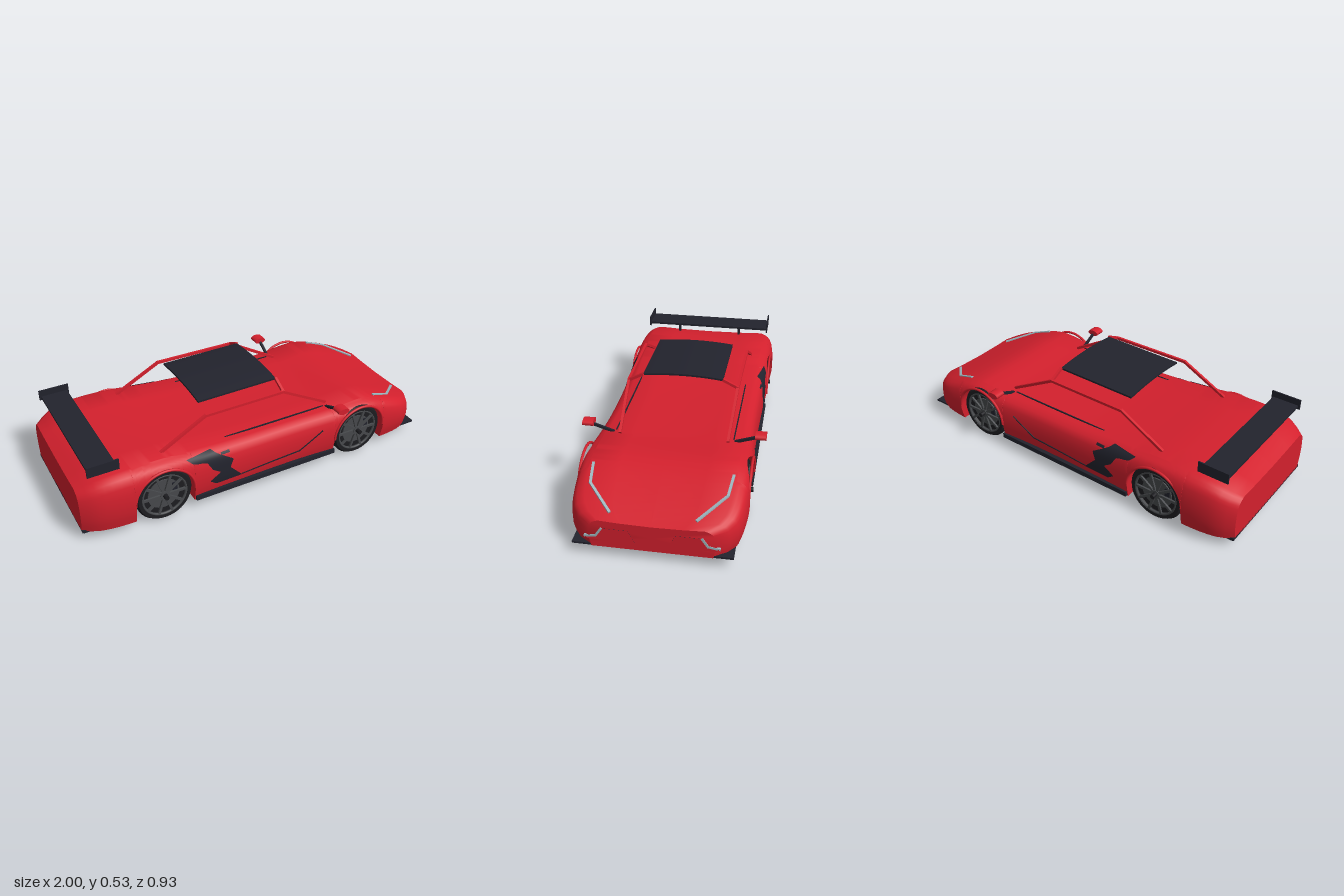
import * as THREE from 'three';
import { toCreasedNormals } from 'three/addons/utils/BufferGeometryUtils.js';

const mat = (name, color, side = THREE.FrontSide) => {
  const m = new THREE.MeshStandardMaterial({ color, side });
  m.name = name;
  return m;
};

// Smooth curve through [x, value] points
function curve(pts) {
  const slope = (i) => {
    const a = pts[Math.max(i - 1, 0)], b = pts[Math.min(i + 1, pts.length - 1)];
    return (b[1] - a[1]) / (b[0] - a[0]);
  };
  return (x) => {
    let i = 0;
    while (i < pts.length - 2 && x > pts[i + 1][0]) i++;
    const [x0, v0] = pts[i], [x1, v1] = pts[i + 1], h = x1 - x0;
    const t = THREE.MathUtils.clamp((x - x0) / h, 0, 1), t2 = t * t, t3 = t2 * t;
    return (2 * t3 - 3 * t2 + 1) * v0 + (t3 - 2 * t2 + t) * h * slope(i)
      + (3 * t2 - 2 * t3) * v1 + (t3 - t2) * h * slope(i + 1);
  };
}
const lerpTable = (pts) => (x) => {
  let i = 0;
  while (i < pts.length - 2 && x > pts[i + 1][0]) i++;
  const [x0, v0] = pts[i], [x1, v1] = pts[i + 1];
  return v0 + (v1 - v0) * THREE.MathUtils.clamp((x - x0) / (x1 - x0), 0, 1);
};

const FLOOR = 0.055, AXLE = 0.58, HUB_Y = 0.15, ARCH = 0.16;
const topY = curve([[-1, 0.285], [-0.9, 0.328], [-0.8, 0.345], [-0.6, 0.346], [-0.4, 0.33], [-0.2, 0.316],
  [0, 0.311], [0.4, 0.314], [0.6, 0.327], [0.7, 0.312], [0.85, 0.261], [1, 0.2]]);
const halfWidth = curve([[-1, 0.35], [-0.93, 0.393], [-0.8, 0.416], [-0.6, 0.416], [-0.25, 0.4], [0.2, 0.396],
  [0.58, 0.416], [0.75, 0.414], [0.88, 0.398], [0.95, 0.362], [1, 0.29]]);
const sideShape = curve([[0, 0.96], [0.3, 1], [0.6, 1], [0.8, 0.98], [0.93, 0.93], [1, 0.84]]);
const bodyZ = (x, y) => halfWidth(x) * sideShape((y - FLOOR) / (topY(x) - FLOOR));

// Body shell: cross-sections along x, with the sill lifted over the wheels
function bodyGeometry() {
  const columns = [];
  for (let i = 0; i <= 50; i++) columns.push(-1 + i * 0.04);
  for (const c of [-AXLE, AXLE]) {
    for (let k = -12; k <= 12; k++) columns.push(c + ARCH * Math.sin(k / 12 * Math.PI / 2));
    columns.push(c - ARCH - 0.0005, c + ARCH + 0.0005);
  }
  columns.sort((a, b) => a - b);
  const levels = [1, 0.97, 0.93, 0.87, 0.8, 0.65, 0.5, 0.3, 0.15, 0];
  const pos = [], index = [];
  let n = 0;
  for (const x of columns) {
    const dx = Math.abs(Math.abs(x) - AXLE), T = topY(x);
    const sill = dx <= ARCH + 1e-6 ? HUB_Y + Math.sqrt(Math.max(0, ARCH * ARCH - dx * dx)) : FLOOR;
    const half = [[T - 0.008, 0], [T - 0.005, halfWidth(x) * 0.5]];
    for (const s of levels) {
      const y = sill + (T - sill) * s;
      half.push([y, bodyZ(x, y)]);
    }
    half.push([sill, 0.27], [FLOOR, 0.27], [FLOOR, 0]);
    const ring = [...half, ...half.slice(1, -1).reverse().map(([y, z]) => [y, -z])];
    n = ring.length;
    for (const [y, z] of ring) pos.push(x, y, z);
  }
  const last = columns.length - 1;
  for (let i = 0; i < last; i++) for (let j = 0; j < n; j++) {
    const k = (j + 1) % n, a = i * n + j, d = i * n + k, b = a + n, c = d + n;
    index.push(a, d, c, a, c, b);
  }
  const rear = pos.length / 3;
  pos.push(-1, 0.15, 0, 1, 0.13, 0);
  for (let j = 0; j < n; j++) {
    const k = (j + 1) % n;
    index.push(rear, k, j, rear + 1, last * n + j, last * n + k);
  }
  const g = new THREE.BufferGeometry();
  g.setAttribute('position', new THREE.Float32BufferAttribute(pos, 3));
  g.setIndex(index);
  return toCreasedNormals(g, 0.6);
}

// Thin patch lying on the flank, between two edges given as x over y
function flankPatch(left, right, y0, y1, s, rows = 28, cols = 8) {
  const g = new THREE.PlaneGeometry(1, 1, cols, rows), p = g.attributes.position;
  for (let i = 0; i < p.count; i++) {
    const y = y0 + (y1 - y0) * (p.getY(i) + 0.5);
    const x = left(y) + (right(y) - left(y)) * (p.getX(i) + 0.5);
    p.setXYZ(i, x, y, s * (bodyZ(x, y) + 0.004));
  }
  g.computeVertexNormals();
  return g;
}

export function createModel() {
  const car = new THREE.Group();
  car.name = 'sportsCar';
  const red = mat('red paint', 0xd4202d);
  const dark = mat('dark carbon', 0x22232d);
  const darkPanel = mat('dark panel', 0x22232d, THREE.DoubleSide);
  const rubber = mat('tyre rubber', 0x1d1d21);
  const metal = mat('grey rim', 0x47494c);
  const lamp = mat('pale lamp', 0x9db6be);

  const add = (name, geometry, material, x = 0, y = 0, z = 0, parent = car) => {
    const m = new THREE.Mesh(geometry, material);
    m.name = name;
    m.position.set(x, y, z);
    parent.add(m);
    return m;
  };
  const box = (name, material, w, h, d, x, y, z, parent) =>
    add(name, new THREE.BoxGeometry(w, h, d), material, x, y, z, parent);
  // Straight bars joining a list of points
  const bars = (name, material, pts, w, h = w) => {
    for (let i = 0; i < pts.length - 1; i++) {
      const a = new THREE.Vector3(...pts[i]), b = new THREE.Vector3(...pts[i + 1]);
      const m = box(name, material, w, h, a.distanceTo(b) + w * 0.5, 0, 0, 0);
      m.position.copy(a).lerp(b, 0.5);
      m.lookAt(b);
    }
  };

  add('body', bodyGeometry(), red);

  // Arched roof panel
  const roof = new THREE.BoxGeometry(0.45, 0.01, 0.42, 1, 1, 14), rp = roof.attributes.position;
  for (let i = 0; i < rp.count; i++) {
    rp.setY(i, rp.getY(i) + 0.521 - 0.013 * (rp.getZ(i) / 0.21) ** 2 + 0.012 * rp.getX(i));
  }
  add('roof', toCreasedNormals(roof, 0.6), dark, -0.075);

  // Rear wing and diffuser
  box('wingBlade', dark, 0.14, 0.012, 0.74, -0.87, 0.4, 0);
  box('diffuser', dark, 0.13, 0.013, 0.7, -0.935, 0.056, 0);

  for (const s of [1, -1]) {
    box('wingEndPlate', dark, 0.16, 0.056, 0.007, -0.87, 0.412, s * 0.37);
    box('wingPost', dark, 0.025, 0.065, 0.014, -0.858, 0.366, s * 0.19);
    for (const z of [0.09, 0.15, 0.2, 0.295, 0.345]) {
      box('diffuserFin', dark, 0.12, 0.012, 0.005, -0.935, 0.049, s * z);
    }
    box('sideSkirt', dark, 0.84, 0.026, 0.03, 0.005, 0.072, s * 0.393);
    box('frontSplitter', dark, 0.11, 0.01, 0.13, 0.943, 0.061, s * 0.308);

    // Cabin frame
    bars('cabinFrame', red, [[-0.55, 0.342, s * 0.297], [-0.3, 0.474, s * 0.292],
      [0.15, 0.474, s * 0.288], [0.43, 0.318, s * 0.274]], 0.014);
    bars('roofStrut', red, [[0.15, 0.474, s * 0.288], [0.15, 0.513, s * 0.212]], 0.014);
    box('windowSeal', dark, 0.6, 0.008, 0.006, 0.1, 0.312, s * 0.3);

    // Mirrors
    bars('mirrorArm', dark, [[0.415, 0.312, s * 0.31], [0.425, 0.355, s * 0.42]], 0.013);
    const mirror = new THREE.CylinderGeometry(0.017, 0.017, 0.055, 12).rotateX(Math.PI / 2).scale(2, 1, 1);
    add('mirror', mirror, red, 0.422, 0.363, s * 0.435);

    // Headlight strips on the bonnet
    bars('headlight', lamp, [[0.71, 0.311, s * 0.335], [0.82, 0.273, s * 0.322], [0.955, 0.22, s * 0.2]], 0.013, 0.008);

    // Front intakes with running lights
    const shape = new THREE.Shape([[0.23, 0.158], [0.11, 0.158], [0.072, 0.09], [0.295, 0.095], [0.31, 0.105], [0.255, 0.116]]
      .map(([z, y]) => new THREE.Vector2(-s * z, y)));
    const intake = new THREE.ExtrudeGeometry(shape, { depth: 0.05, bevelEnabled: false }).rotateY(Math.PI / 2);
    add('frontIntake', intake, [red, dark], 0.951);
    bars('runningLight', lamp, [[0.998, 0.158, s * 0.23], [0.998, 0.117, s * 0.257], [0.995, 0.106, s * 0.31]], 0.011, 0.011);

    // Dark air scoop, handle and crease on the flank
    const left = lerpTable([[0.125, -0.3], [0.155, -0.34], [0.19, -0.275], [0.22, -0.32], [0.272, -0.35], [0.285, -0.42], [0.316, -0.455]]);
    const right = lerpTable([[0.125, -0.15], [0.2, -0.22], [0.245, -0.2], [0.3, -0.29], [0.316, -0.31]]);
    add('airScoop', flankPatch(left, right, 0.125, 0.316, s), darkPanel);
    add('doorHandle', flankPatch(() => -0.265, () => -0.215, 0.283, 0.295, s, 2, 2), darkPanel);
    const crease = [[-0.15, 0.128], [0.03, 0.138], [0.2, 0.148], [0.27, 0.19], [0.34, 0.232]]
      .map(([x, y]) => [x, y, s * (bodyZ(x, y) + 0.001)]);
    bars('doorCrease', dark, crease, 0.005);

    // Wheels and arch trims
    for (const x of [-AXLE, AXLE]) {
      add('archTrim', new THREE.TorusGeometry(ARCH, 0.007, 8, 32, Math.PI), red, x, HUB_Y, s * 0.409);
      const wheel = new THREE.Group();
      wheel.name = 'wheel';
      wheel.position.set(x, HUB_Y, s * 0.35);
      if (s < 0) wheel.rotation.y = Math.PI;
      car.add(wheel);
      const tyre = new THREE.LatheGeometry([[0.118, -0.04], [0.14, -0.04], [0.15, -0.028], [0.15, 0.028],
        [0.14, 0.042], [0.122, 0.042], [0.118, 0.02]].map(([r, y]) => new THREE.Vector2(r, y)), 40).rotateX(Math.PI / 2);
      add('tyre', toCreasedNormals(tyre, 0.7), rubber, 0, 0, 0, wheel);
      const disc = (name, r, d, z, m) =>
        add(name, new THREE.CylinderGeometry(r, r, d, 32).rotateX(Math.PI / 2), m, 0, 0, z, wheel);
      disc('rimBack', 0.12, 0.06, -0.008, rubber);
      disc('brakeDisc', 0.085, 0.008, 0.024, metal);
      box('brakeCaliper', dark, 0.028, 0.065, 0.01, 0.06, 0.02, 0.026, wheel);
      add('rimRing', new THREE.TorusGeometry(0.118, 0.007, 8, 40), metal, 0, 0, 0.036, wheel);
      for (let k = 0; k < 10; k++) {
        const a = k * Math.PI / 5;
        const spoke = box('spoke', metal, 0.105, 0.013, 0.01, Math.cos(a) * 0.063, Math.sin(a) * 0.063, 0.037, wheel);
        spoke.rotation.z = a;
      }
      disc('hub', 0.024, 0.014, 0.038, metal);
      disc('hubNut', 0.012, 0.04, 0.05, rubber);
    }
  }
  return car;
}
